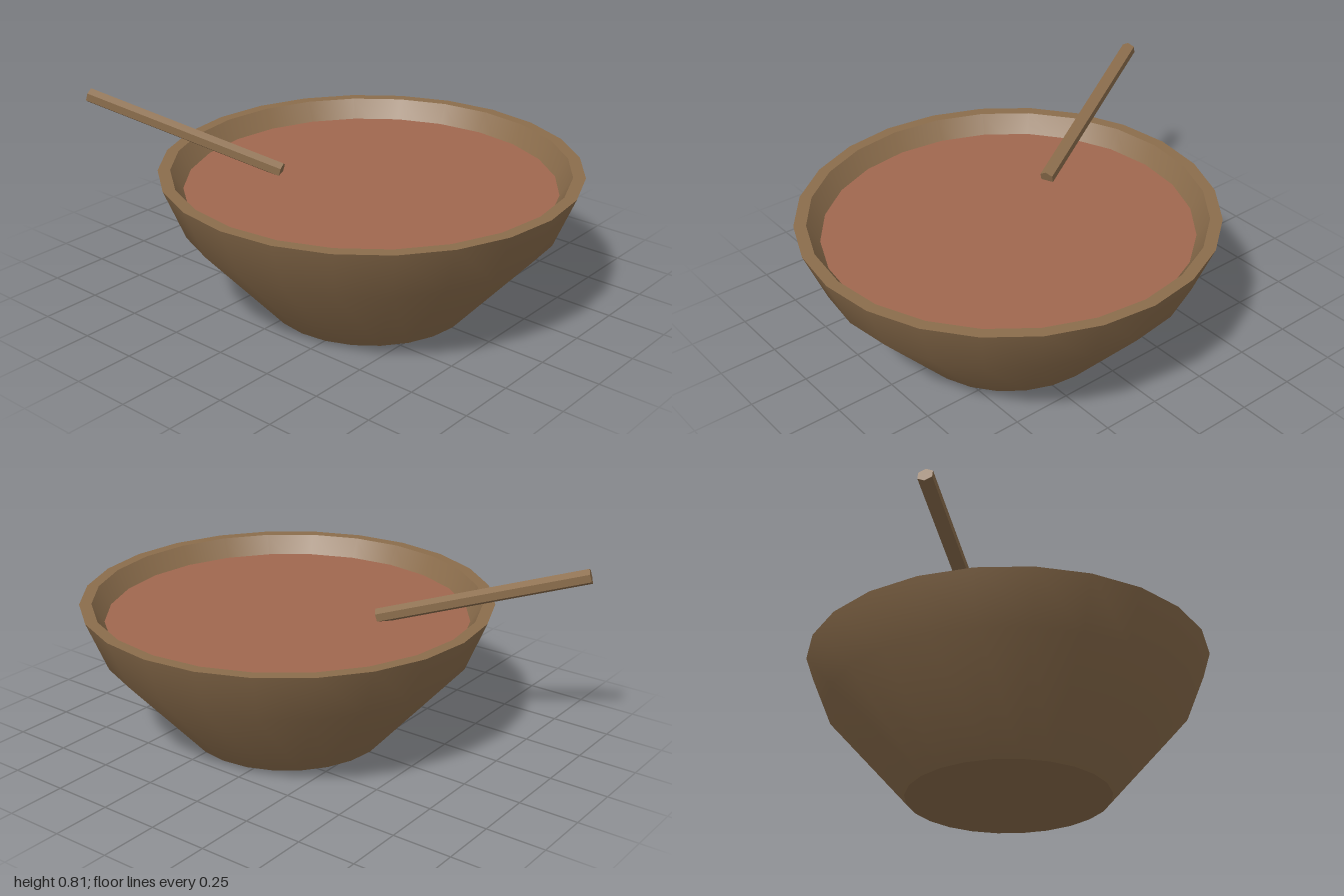
import * as THREE from 'three';
import { toCreasedNormals } from 'three/addons/utils/BufferGeometryUtils.js';

export function createModel() {
  const model = new THREE.Group();
  const wood = new THREE.MeshStandardMaterial({ color: 0x8b6d4c });
  wood.name = 'wood';
  const soupRed = new THREE.MeshStandardMaterial({ color: 0xa0674f });
  soupRed.name = 'soup red';

  const SIDES = 24;
  const CENTRE_X = 0.14;

  function add(name, geometry, material) {
    const mesh = new THREE.Mesh(geometry, material);
    mesh.name = name;
    model.add(mesh);
    return mesh;
  }

  // Bowl: outer wall, flat rim, then the inner wall down to the hollow's floor
  const profile = [
    [0, 0], [0.43, 0], [0.775, 0.39], [0.86, 0.6],
    [0.81, 0.6], [0.7, 0.42], [0.38, 0.05], [0, 0.05],
  ].map(([r, y]) => new THREE.Vector2(r, y));
  const bowl = add('bowl', toCreasedNormals(new THREE.LatheGeometry(profile, SIDES), 0.6), wood);
  bowl.position.x = CENTRE_X;

  // Soup surface
  const soup = add('soup', new THREE.CircleGeometry(0.762, SIDES).rotateX(-Math.PI / 2), soupRed);
  soup.position.set(CENTRE_X, 0.52, 0);

  // Six-sided spoon handle leaning over the rim
  const low = new THREE.Vector3(-0.2, 0.535, 0.167);
  const high = new THREE.Vector3(-0.98, 0.78, 0.513);
  const rod = new THREE.CylinderGeometry(0.032, 0.032, low.distanceTo(high), 6)
    .rotateX(Math.PI / 2);
  const handle = add('spoonHandle', toCreasedNormals(rod, 0.3), wood);
  handle.position.copy(low).lerp(high, 0.5);
  handle.lookAt(high);

  return model;
}
